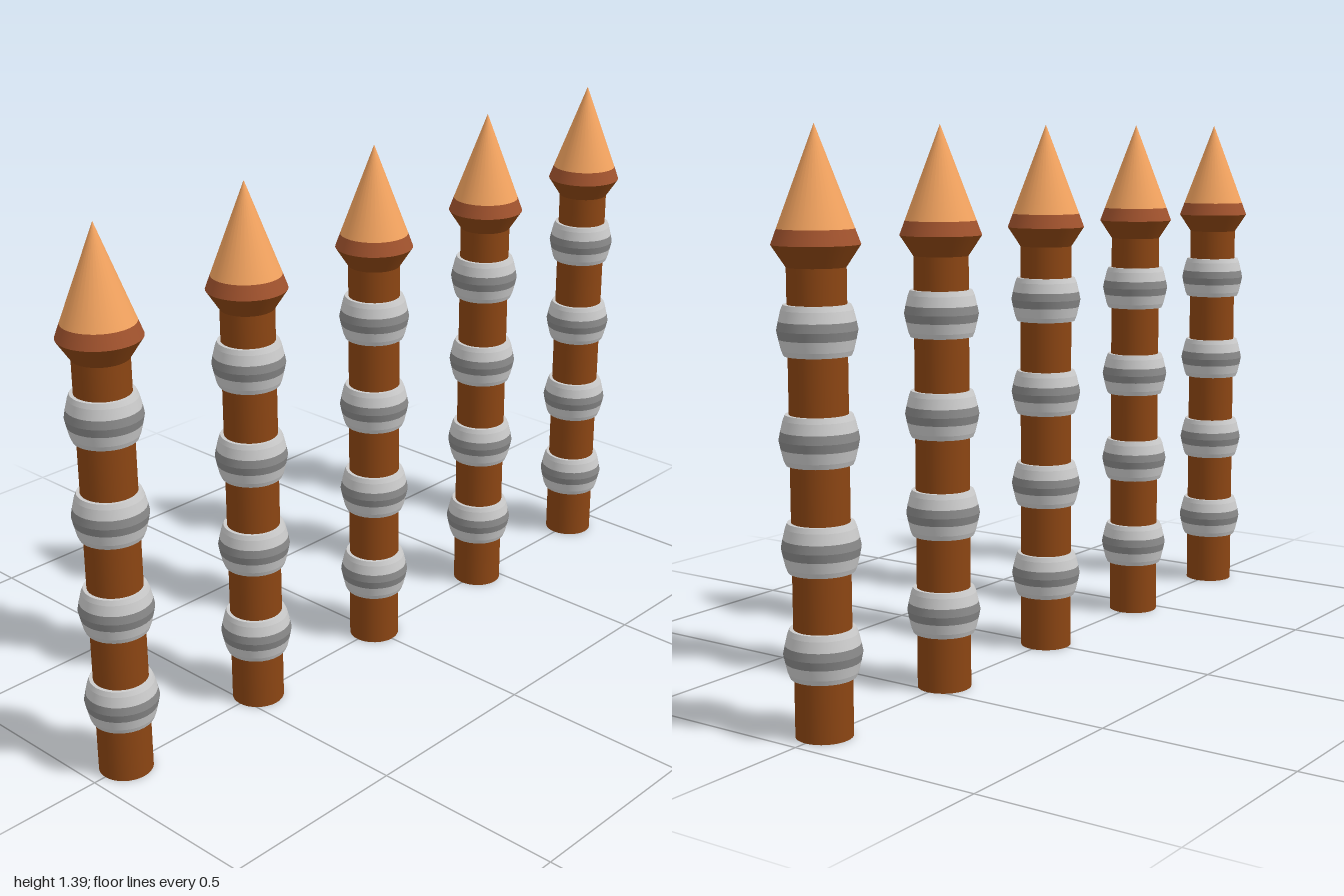
import * as THREE from 'three';
import { mergeGeometries } from 'three/addons/utils/BufferGeometryUtils.js';

const SEGMENTS = 32;
const material = (color) => new THREE.MeshStandardMaterial({ color });

// Stack of frustums through [radius, y] points, with crisp edges between them
function turned(points, closed = false) {
  const parts = [];
  for (let i = 0; i < points.length - 1; i++) {
    const [r0, y0] = points[i];
    const [r1, y1] = points[i + 1];
    const g = new THREE.CylinderGeometry(r1, r0, y1 - y0, SEGMENTS, 1, !closed);
    g.translate(0, (y0 + y1) / 2, 0);
    parts.push(g);
  }
  return mergeGeometries(parts);
}

export function createModel() {
  const wood = material(0x8b4513);
  const rim = material(0xa0522d);
  const paleWood = material(0xf4a460);
  const metal = material(0xcccccc);
  const darkMetal = material(0x888888);

  // Shared geometry, one set for every post
  const shaft = turned([[0.067, 0], [0.067, 1.08]], true);
  const collar = turned([[0.067, 1.075], [0.1, 1.125]]);
  const tipRim = turned([[0.1, 1.125], [0.087, 1.16]]);
  const tip = turned([[0.087, 1.16], [0, 1.39]]);
  const bandLower = turned([[0.076, -0.057], [0.081, -0.045], [0.087, -0.02]], true);
  const bandUpper = turned([[0.087, 0.02], [0.081, 0.045], [0.076, 0.057]], true);
  const bandStripe = turned([[0.087, -0.02], [0.091, 0], [0.087, 0.02]]);

  const add = (parent, name, geometry, mat) => {
    const mesh = new THREE.Mesh(geometry, mat);
    mesh.name = name;
    parent.add(mesh);
  };

  const model = new THREE.Group();
  model.name = 'spikedPosts';

  for (let i = -2; i <= 2; i++) {
    const post = new THREE.Group();
    post.name = 'post' + (i + 3);
    post.position.x = i * 0.45;
    add(post, 'shaft', shaft, wood);
    add(post, 'collar', collar, wood);
    add(post, 'tipRim', tipRim, rim);
    add(post, 'tip', tip, paleWood);

    // Four evenly spaced metal bands
    for (let j = 0; j < 4; j++) {
      const band = new THREE.Group();
      band.name = 'band' + (j + 1);
      band.position.y = 0.198 + j * 0.246;
      add(band, 'bandLower', bandLower, metal);
      add(band, 'bandStripe', bandStripe, darkMetal);
      add(band, 'bandUpper', bandUpper, metal);
      post.add(band);
    }
    model.add(post);
  }
  return model;
}
